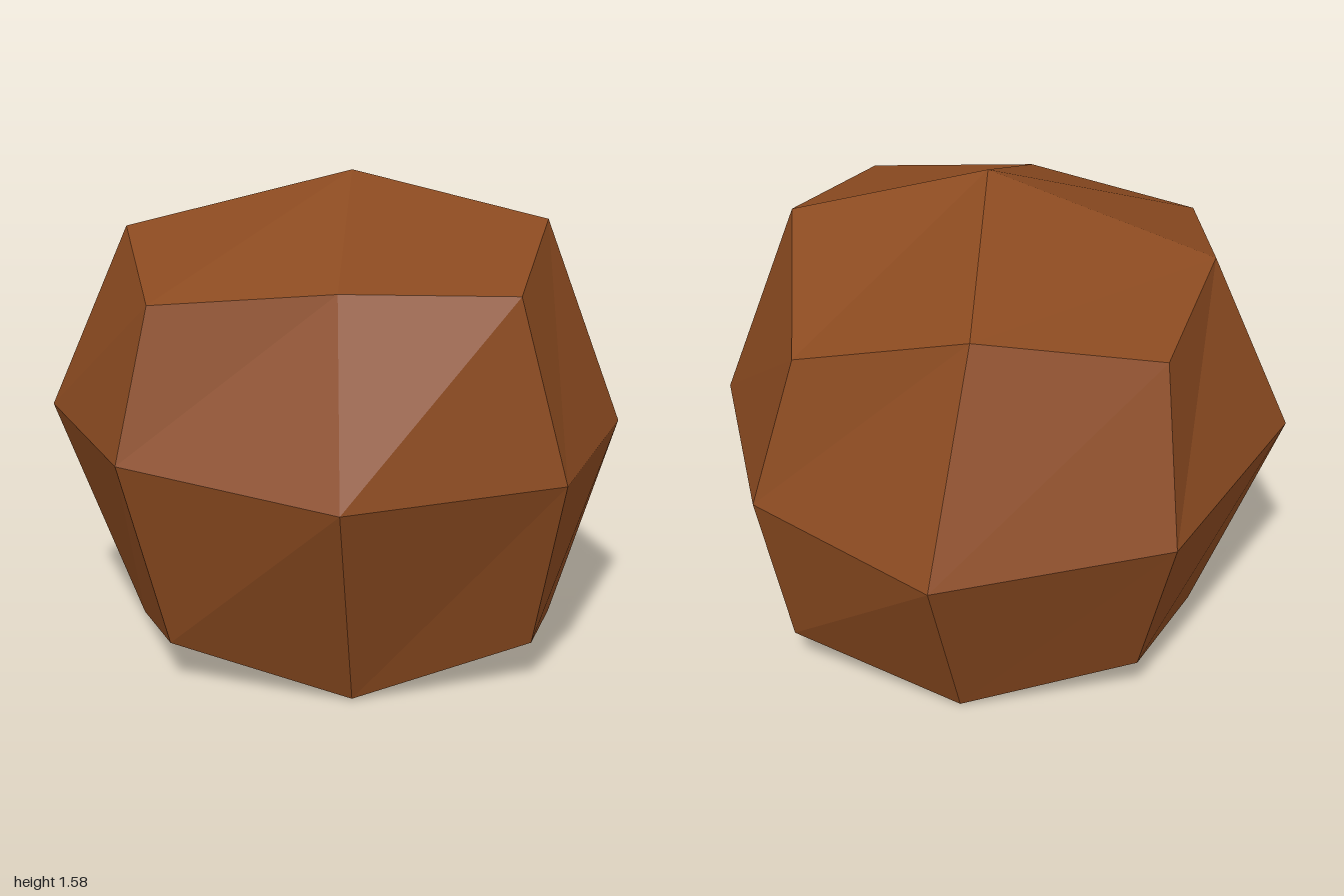
import * as THREE from 'three';

// Irregular stone: a 2x2x2-segment box whose 26 grid points are pushed outward.
// Each layer is three rows (back to front) of three points (x from - to +).
const layers = [
  [ // bottom
    [[-0.53, 0.14, -0.575], [0.035, 0.005, -0.70], [0.61, 0.14, -0.575]],
    [[-0.665, 0.015, -0.02], [0.02, 0, 0], [0.735, 0.015, 0]],
    [[-0.54, 0.14, 0.56], [0.035, 0.005, 0.70], [0.61, 0.14, 0.58]],
  ],
  [ // middle
    [[-0.65, 0.74, -0.79], [0.08, 0.655, -1], [0.695, 0.705, -0.67]],
    [[-0.955, 0.765, -0.035], null, [0.95, 0.715, 0.03]],
    [[-0.69, 0.765, 0.665], [-0.01, 0.715, 1], [0.69, 0.715, 0.735]],
  ],
  [ // top
    [[-0.59, 1.29, -0.61], [-0.01, 1.37, -0.72], [0.565, 1.19, -0.58]],
    [[-0.695, 1.37, -0.06], [0.05, 1.575, 0.055], [0.695, 1.405, 0.03]],
    [[-0.59, 1.245, 0.56], [-0.01, 1.31, 0.70], [0.545, 1.29, 0.655]],
  ],
];

export function createModel() {
  const brown = new THREE.MeshStandardMaterial({ color: 0x8b4a20, flatShading: true });
  brown.name = 'brown';

  const geometry = new THREE.BoxGeometry(2, 2, 2, 2, 2, 2);
  const p = geometry.attributes.position;
  for (let i = 0; i < p.count; i++) {
    const [x, y, z] = [p.getX(i), p.getY(i), p.getZ(i)].map((v) => Math.round(v) + 1);
    p.setXYZ(i, ...layers[y][z][x]);
  }
  const faceted = geometry.toNonIndexed();
  faceted.clearGroups();
  faceted.computeVertexNormals();

  const stone = new THREE.Mesh(faceted, brown);
  stone.name = 'stone';
  const group = new THREE.Group();
  group.name = 'facetedStone';
  group.add(stone);
  return group;
}
